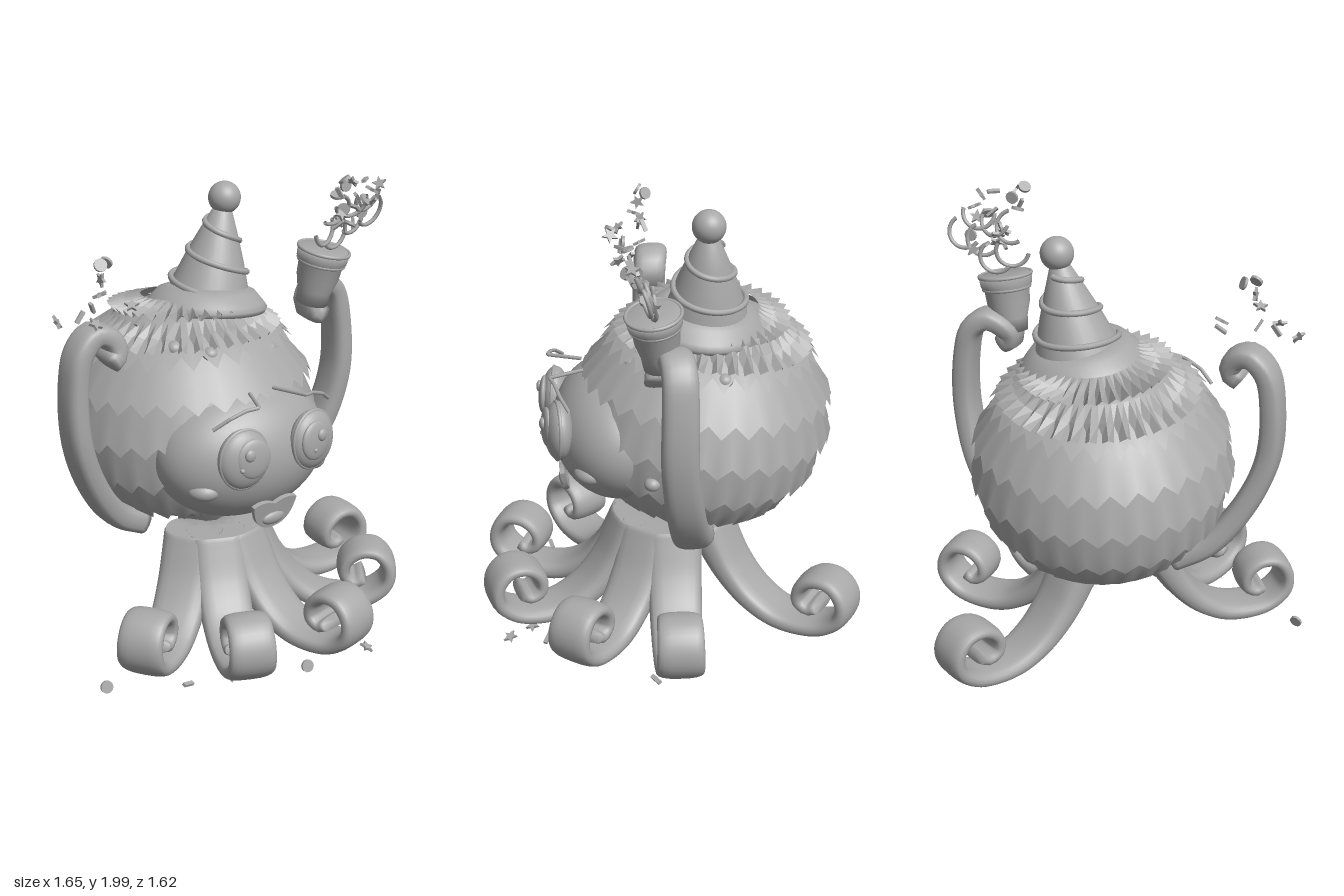
import * as THREE from 'three';
import { ParametricGeometry } from 'three/addons/geometries/ParametricGeometry.js';

const V = (x, y, z = 0) => new THREE.Vector3(x, y, z);

// Rounded ribbon swept along a curve, with a fixed width axis and tapering size
function sweep(points, side, width, thick, rows = 56, cols = 20) {
  const curve = new THREE.CatmullRomCurve3(points, false, 'centripetal');
  const pos = [], idx = [];
  const soft = (a) => Math.sign(a) * Math.pow(Math.abs(a), 0.7);
  for (let i = 0; i <= rows; i++) {
    const t = Math.min(Math.max((i - 1) / (rows - 2), 0), 1);
    const k = i === 0 || i === rows ? 0.001 : 1; // collapsed rings close the ends
    const p = curve.getPointAt(t);
    const n = side.clone().cross(curve.getTangentAt(t)).normalize();
    for (let j = 0; j < cols; j++) {
      const a = (j / cols) * Math.PI * 2;
      const q = p.clone()
        .addScaledVector(side, soft(Math.cos(a)) * width(t) * k)
        .addScaledVector(n, soft(Math.sin(a)) * thick(t) * k);
      pos.push(q.x, q.y, q.z);
      if (i < rows) {
        const j2 = (j + 1) % cols;
        const A = i * cols + j, B = A + cols, C = i * cols + j2, D = C + cols;
        idx.push(A, B, C, B, D, C);
      }
    }
  }
  const g = new THREE.BufferGeometry();
  g.setAttribute('position', new THREE.Float32BufferAttribute(pos, 3));
  g.setIndex(idx);
  g.computeVertexNormals();
  return g;
}

function starGeometry(r) {
  const s = new THREE.Shape();
  for (let i = 0; i < 10; i++) {
    const a = (i / 10) * Math.PI * 2, d = i % 2 ? r * 0.45 : r;
    s[i ? 'lineTo' : 'moveTo'](Math.sin(a) * d, Math.cos(a) * d);
  }
  return new THREE.ExtrudeGeometry(s, { depth: 0.012, bevelEnabled: false });
}

export function createModel() {
  const root = new THREE.Group();
  const grey = new THREE.MeshStandardMaterial({ color: 0xa8a8a8, side: THREE.DoubleSide });
  grey.name = 'paper grey';
  const add = (name, geo, p = [0, 0, 0], rot = [0, 0, 0], sc = [1, 1, 1], parent = root) => {
    const m = new THREE.Mesh(geo, grey);
    m.name = name;
    m.position.set(...p);
    m.rotation.set(...rot);
    m.scale.set(...sc);
    parent.add(m);
    return m;
  };
  const group = (name, p, rot = [0, 0, 0]) => {
    const g = new THREE.Group();
    g.name = name;
    g.position.set(...p);
    g.rotation.set(...rot);
    root.add(g);
    return g;
  };
  const ball = new THREE.SphereGeometry(1, 32, 20);

  // Body: round core under overlapping zigzag paper tiers
  const body = group('body', [-0.015, 0.96, -0.17], [-0.1, 0, 0]);
  add('bodyCore', new THREE.SphereGeometry(1, 48, 32), [0, 0, 0], [0, 0, 0], [0.51, 0.49, 0.51], body);
  const radius = (y) => 0.52 * Math.sqrt(Math.max(0, 1 - (y / 0.5) ** 2));
  const edges = [0.45, 0.31, 0.14, -0.04, -0.22, -0.38];
  for (let i = 1; i < edges.length; i++) {
    const top = edges[i - 1] + 0.03;
    add('paperTier', new ParametricGeometry((u, v, out) => {
      const tooth = Math.round(u * 60) % 2 ? -0.03 : 0.022;
      const y = top + (edges[i] + tooth - top) * v;
      const r = radius(y) + 0.04 * v * v;
      out.set(Math.sin(u * Math.PI * 2) * r, y, Math.cos(u * Math.PI * 2) * r);
    }, 60, 8), [0, 0, 0], [0, 0, 0], [1, 1, 1], body);
  }

  // Pleated collars below the hat
  const collar = (r0, r1, drop, p, lean) => add('pleatedCollar', new ParametricGeometry((u, v, out) => {
    const fold = Math.round(u * 72) % 2 ? 1 : -1;
    const r = r0 + (r1 - r0) * v + fold * 0.016 * v;
    out.set(Math.sin(u * Math.PI * 2) * r, -drop * v + fold * 0.018 * v, Math.cos(u * Math.PI * 2) * r);
  }, 72, 2).toNonIndexed(), p, [0, 0, lean], [1, 1, 1], body).geometry.computeVertexNormals();
  collar(0.29, 0.415, 0.1, [0, 0.44, -0.005], 0);
  collar(0.18, 0.31, 0.05, [0.015, 0.495, -0.005], -0.08);

  // Party hat: domed brim, cone, wound cord and pompom
  const lathe = (pts, n) => new THREE.LatheGeometry(pts.map(([x, y]) => new THREE.Vector2(x, y)), n);
  add('hatBrim', lathe([[0, -0.05], [0.255, -0.04], [0.265, -0.02], [0.25, 0.0], [0.21, 0.045], [0.16, 0.065], [0, 0.07]], 40),
    [0.08, 1.425, -0.16], [-0.1, 0, -0.12]);
  const hat = group('partyHat', [0.1, 1.455, -0.165], [0, 0, -0.2]);
  add('hatCone', lathe([[0.18, -0.02], [0.168, 0.03], [0.127, 0.15], [0.088, 0.25], [0.038, 0.37], [0, 0.38]], 28), [0, 0, 0], [0, 0, 0], [1, 1, 1], hat);
  const cord = [];
  for (let i = 0; i <= 60; i++) {
    const t = i / 60, a = t * Math.PI * 2 * 2.4 + 2.5, r = 0.185 - 0.13 * t;
    cord.push(V(Math.cos(a) * r, 0.02 + t * 0.31, Math.sin(a) * r));
  }
  add('hatCord', new THREE.TubeGeometry(new THREE.CatmullRomCurve3(cord), 120, 0.013, 8), [0, 0, 0], [0, 0, 0], [1, 1, 1], hat);
  add('hatPompom', ball, [0, 0.412, 0], [0, 0, 0], [0.07, 0.07, 0.07], hat);

  // Face, eyes, brows, cheeks and mouth
  add('face', new THREE.SphereGeometry(1, 48, 32), [-0.015, 0.895, 0.205], [0, 0, 0], [0.405, 0.295, 0.28]);
  for (const s of [-1, 1]) {
    const eye = group('eye', [-0.012 + s * 0.178, 0.965, 0.463], [-0.05, s * 0.12, 0]);
    const part = (name, x, y, z, w, h, d) => add(name, ball, [x, y, z], [0, 0, 0], [w, h, d], eye);
    part('eyeball', 0, 0, 0, 0.116, 0.128, 0.06);
    add('eyeRim', new THREE.TorusGeometry(0.11, 0.008, 8, 36), [0, 0, 0.008], [0, 0, 0], [1, 1.13, 1], eye);
    part('iris', -s * 0.022, 0.01, 0.047, 0.078, 0.085, 0.022);
    part('eyeGlint', -0.005, 0.035, 0.068, 0.024, 0.026, 0.014);
    part('smallGlint', -0.04, -0.025, 0.062, 0.01, 0.01, 0.01);
    const brow = [[0.3, 1.105, 0.42], [0.24, 1.15, 0.455], [0.17, 1.178, 0.475], [0.12, 1.184, 0.49], [0.06, 1.186, 0.35]];
    add('eyebrow', new THREE.TubeGeometry(new THREE.CatmullRomCurve3(
      brow.map(([x, y, z]) => V(-0.012 + s * x, y, z)), false, 'catmullrom', 0.1), 40, 0.008, 6));
    add('cheek', ball, [-0.015 + s * 0.29, 0.808, 0.345], [0, s * 0.8, 0], [0.068, 0.042, 0.053]);
  }
  const mouth = new THREE.Shape();
  mouth.moveTo(-0.112, 0.045);
  mouth.quadraticCurveTo(-0.06, 0.07, 0, 0.04);
  mouth.quadraticCurveTo(0.06, 0.07, 0.112, 0.045);
  mouth.bezierCurveTo(0.1, -0.02, 0.08, -0.075, 0, -0.078);
  mouth.bezierCurveTo(-0.08, -0.075, -0.1, -0.02, -0.112, 0.045);
  add('mouth', new THREE.ExtrudeGeometry(mouth, { depth: 0.02, bevelEnabled: false }), [-0.015, 0.68, 0.43], [0.2, 0, 0]);
  add('tongue', ball, [-0.015, 0.645, 0.44], [0.2, 0, 0], [0.057, 0.03, 0.02]);

  // Six curled legs, cut level under the body
  const legPath = [[0.15, 0.52], [0.21, 0.4], [0.285, 0.27], [0.385, 0.16], [0.5, 0.095], [0.62, 0.082], [0.72, 0.105],
    [0.79, 0.17], [0.795, 0.25], [0.745, 0.315], [0.67, 0.32], [0.61, 0.27], [0.605, 0.205], [0.65, 0.175], [0.69, 0.195]];
  const leg = sweep(legPath.map(([x, y]) => V(x, y)), V(0, 0, 1),
    (t) => 0.125 - 0.038 * t, (t) => 0.05 * (1 - t) ** 3 + 0.036 - 0.008 * t, 72);
  leg.attributes.position.array.forEach((v, i, a) => { if (i % 3 === 1) a[i] = Math.min(v, 0.48); });
  leg.computeVertexNormals();
  for (const [deg, reach] of [[-56.5, 1.07], [3, 1.02], [37.5, 1.015], [76, 1.03], [113, 1.03], [146, 1.01]])
    add('leg', leg, [-0.01, 0, -0.035], [0, -deg * Math.PI / 180, 0], [reach, 1, 1]);

  // Raised arms
  const arm = (name, pts) => add(name, sweep(pts.map((p) => V(...p)), V(0, 0, 1),
    (t) => 0.085 - 0.015 * t, (t) => 0.056 - 0.01 * t));
  arm('rightArm', [[-0.33, 0.52, -0.1], [-0.47, 0.6, -0.07], [-0.6, 0.77, -0.03], [-0.69, 1.0, 0], [-0.7, 1.25, 0], [-0.67, 1.39, 0],
    [-0.6, 1.455, 0], [-0.535, 1.43, 0.01], [-0.515, 1.37, 0.02], [-0.56, 1.335, 0.03]]);
  arm('leftArm', [[0.32, 0.52, -0.1], [0.47, 0.6, -0.07], [0.61, 0.78, -0.03], [0.68, 1.03, 0], [0.675, 1.28, 0], [0.64, 1.41, 0],
    [0.57, 1.455, 0.01], [0.5, 1.42, 0.03], [0.475, 1.37, 0.05], [0.52, 1.335, 0.06]]);

  // Party popper cup
  const cup = group('partyPopper', [0.485, 1.39, 0.06], [0.13, 0, -0.16]);
  add('popperCup', lathe([[0, 0], [0.07, 0], [0.075, 0.06], [0.092, 0.12], [0.097, 0.18], [0.11, 0.2], [0.116, 0.25], [0, 0.24]], 28),
    [0, 0, 0], [0, 0, 0], [1, 1, 1], cup);
  for (const [y, r] of [[0.245, 0.112], [0.19, 0.1]])
    add('popperBand', new THREE.TorusGeometry(r, 0.008, 8, 32), [0, y, 0], [Math.PI / 2, 0, 0], [1, 1, 1], cup);

  // Streamers and confetti
  let seed = 7;
  const rnd = () => ((seed = (seed * 16807) % 2147483647) / 2147483647);
  const arc = new THREE.TorusGeometry(0.07, 0.009, 6, 20, 3.4);
  for (const [x, y] of [[0.5, 1.73], [0.57, 1.7], [0.64, 1.76], [0.73, 1.78], [0.6, 1.84], [0.68, 1.86], [0.52, 1.82]])
    add('streamer', arc, [x, y, 0.08 + (y - 1.65) * 0.5], [rnd() * 0.5, rnd() * 0.8 - 0.4, 3.0 + rnd() * 1.2]);
  const bits = [starGeometry(0.032), new THREE.CylinderGeometry(0.027, 0.027, 0.012, 14), new THREE.BoxGeometry(0.018, 0.055, 0.012)];
  const bit = (kind, p, rot) => add('confetti', bits[kind], p, rot || [rnd() * 6, rnd() * 6, rnd() * 6]);
  for (let i = 0; i < 20; i++) {
    const t = i / 19;
    bit(i % 3, [0.46 + rnd() * 0.27, 1.72 + t * 0.255, 0.1 + t * 0.13 + rnd() * 0.04]);
  }
  for (const [k, x, y, z] of [[1, -0.55, 1.755, 0.03], [1, -0.595, 1.76, 0.06], [0, -0.6, 1.7, 0.06], [0, -0.61, 1.64, 0.08], [2, -0.62, 1.58, 0.03],
    [2, -0.69, 1.56, 0.05], [0, -0.79, 1.55, 0.03], [0, -0.68, 1.55, 0.14], [0, -0.45, 1.56, 0.06], [2, -0.44, 1.51, 0.1]]) bit(k, [x, y, z]);
  // Confetti on the floor
  for (const [k, x, z] of [[1, -0.775, 0.31], [2, -0.49, 0.49], [2, 0.32, 0.54], [0, 0.3, 0.7], [0, 0.22, 0.6], [1, 0, 0.67], [2, 0.68, 0.1], [0, -0.32, 0.55]])
    bit(k, [x, 0.035, z], k === 1 ? [1.3, 0, 0.2] : [-1.2, 0.3, x * 3]);
  // Confetti stuck to the body
  for (const [x, y, z] of [[-0.14, 1.32, 0.17], [-0.25, 1.34, 0.07], [0.39, 1.27, -0.21], [0.18, 1.27, 0.15], [0.43, 0.83, 0.09]])
    add('bodyDot', ball, [x, y, z], [0, 0, 0], [0.035, 0.03, 0.035]);
  return root;
}
